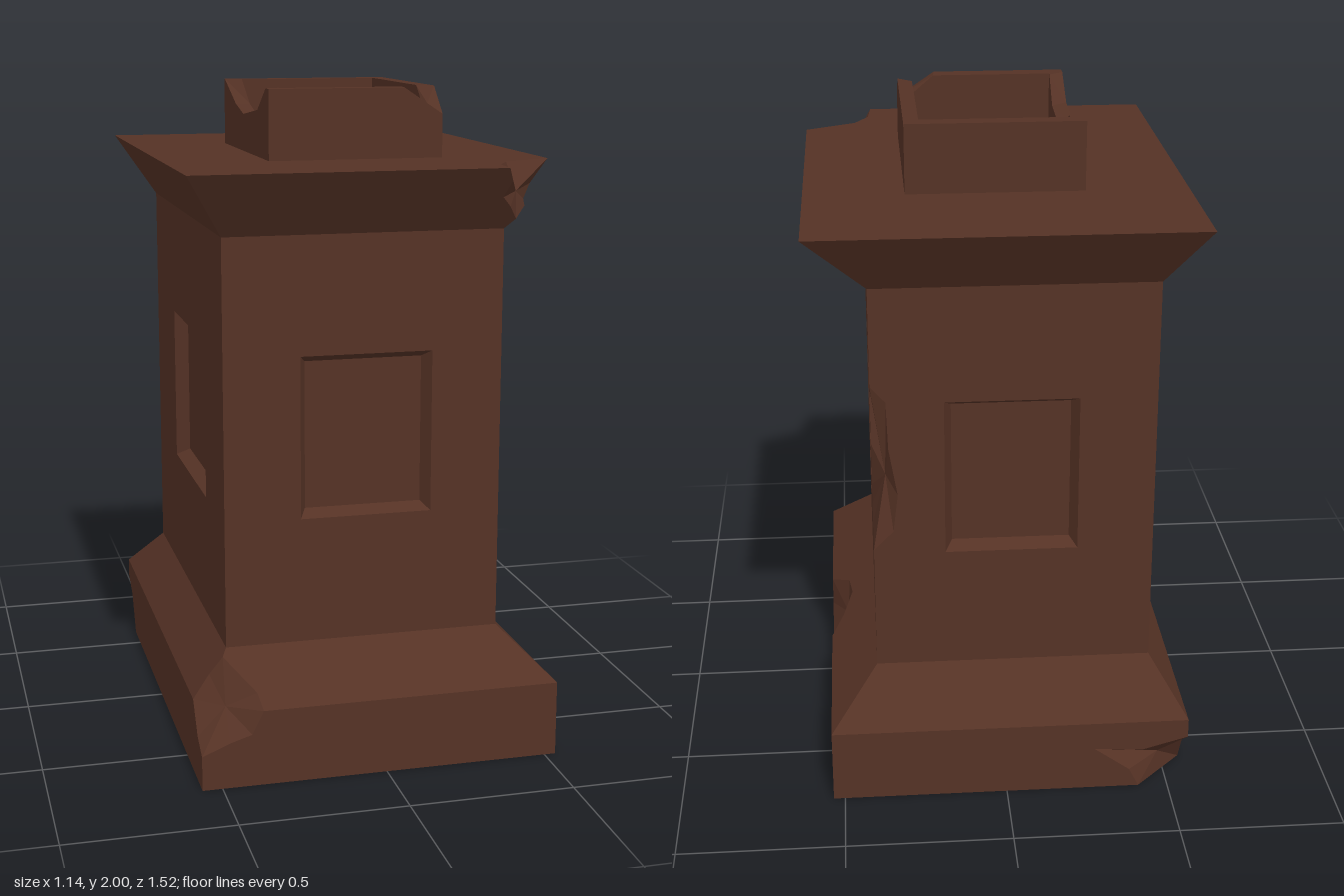
import * as THREE from 'three';

const material = new THREE.MeshStandardMaterial({ color: 0x553225 });
const lerp = THREE.MathUtils.lerp;

// Collects flat faces into one hard-edged mesh. Every face is wound to match an outward hint.
class Part {
  constructor(name) { this.name = name; this.points = []; }

  tri(a, b, c, out) {
    const [A, B, C] = [a, b, c].map(p => new THREE.Vector3(...p));
    const n = B.clone().sub(A).cross(C.clone().sub(A));
    this.points.push(...(n.dot(new THREE.Vector3(...out)) >= 0 ? [A, B, C] : [A, C, B]));
  }

  // Planar polygon, with optional holes, triangulated along the hint's main axis
  face(out, outline, holes = []) {
    const size = out.map(Math.abs);
    const drop = size.indexOf(Math.max(...size));
    const flat = loop => loop.map(p => new THREE.Vector2(...p.filter((_, i) => i !== drop)));
    const all = [outline, ...holes].flat();
    for (const t of THREE.ShapeUtils.triangulateShape(flat(outline), holes.map(flat)))
      this.tri(all[t[0]], all[t[1]], all[t[2]], out);
  }

  // Broken area: a fan from a jagged loop to a sunken centre
  chip(out, loop, centre) {
    const C = new THREE.Vector3(...centre), sum = new THREE.Vector3();
    const v = loop.map(p => new THREE.Vector3(...p));
    const next = i => v[(i + 1) % v.length];
    v.forEach((p, i) => sum.add(p.clone().sub(C).cross(next(i).clone().sub(C))));
    const keep = sum.dot(new THREE.Vector3(...out)) > 0;
    v.forEach((p, i) => this.points.push(...(keep ? [C, p, next(i)] : [C, next(i), p])));
  }

  mesh() {
    const geometry = new THREE.BufferGeometry().setFromPoints(this.points);
    geometry.computeVertexNormals();
    const mesh = new THREE.Mesh(geometry, material);
    mesh.name = this.name;
    return mesh;
  }
}

const FRONT = [0, 0, 1], BACK = [0, 0, -1], LEFT = [1, 0, 0], RIGHT = [-1, 0, 0], UP = [0, 1, 0], DOWN = [0, -1, 0];

// Rectangular cross-sections: x0, x1, z0 (back), z1 (front)
const PLINTH = [-0.56, 0.535, -0.76, 0.76];
const SHAFT = [-0.455, 0.39, -0.595, 0.6];
const CAP = [-0.575, 0.57, -0.735, 0.74];

// Cross-section at height y on a slope between two sections
const slope = (a, b, y0, y1) => y => a.map((v, i) => lerp(v, b[i], (y - y0) / (y1 - y0)));
const plinthAt = slope(PLINTH, SHAFT, 0.23, 0.375);
const capAt = slope(SHAFT, CAP, 1.6, 1.79);

function makeBase() {
  const part = new Part('base');
  const [x0, x1, z0, z1] = PLINTH, [sx0, sx1, sz0, sz1] = SHAFT, E = 0.23, T = 0.375;
  const onFront = (x, y) => [x, y, plinthAt(y)[3]];
  const onX = (side, y, z) => [plinthAt(y)[side], y, z];

  // Broken front corner
  const hip = plinthAt(0.355);
  const cornerTop = [hip[0], 0.355, hip[3]];
  const cornerFront = [[-0.375, E, z1], [-0.41, 0.16, z1], [-0.475, 0.14, z1], [x0, 0.105, z1]];
  const cornerSlope = [onFront(-0.43, 0.315), onFront(-0.385, 0.27)];
  const cornerSide = [[x0, 0.14, 0.69], [x0, E, 0.62]];
  const cornerSideSlope = onX(0, 0.3, 0.61);
  part.chip([-1, 1, 1], [cornerTop, ...cornerSlope, ...cornerFront, ...cornerSide, cornerSideSlope], [-0.475, 0.225, 0.685]);

  // Chip in the middle of one long edge
  const edgeLow = [[0.22, E], [0.18, 0.16], [0.1, 0.12], [0, 0.105], [-0.1, 0.13], [-0.17, E]].map(([z, y]) => [x1, y, z]);
  const edgeHigh = [[-0.1, 0.27], [0, 0.3], [0.1, 0.29]].map(([z, y]) => onX(1, y, z));
  part.chip([1, 1, 0], [...edgeLow, ...edgeHigh], [0.48, 0.21, 0.02]);

  // Broken bottom corner at the back
  const backChip = [[-0.41, 0], [-0.38, 0.06], [-0.27, 0.14], [-0.42, 0.13], [x0, 0.17]].map(([x, y]) => [x, y, z0]);
  const backSide = [[x0, 0.12, -0.68], [x0, 0, -0.61]];
  part.chip([-1, -1, -1], [...backChip, ...backSide], [-0.48, 0.07, -0.68]);

  // Plinth walls and underside
  part.face(FRONT, [[x0, 0, z1], [x1, 0, z1], [x1, E, z1], ...cornerFront]);
  part.face(LEFT, [[x1, 0, z1], [x1, E, z1], ...edgeLow, [x1, E, z0], [x1, 0, z0]]);
  part.face(BACK, [[x1, 0, z0], [x1, E, z0], [x0, E, z0], ...[...backChip].reverse()]);
  part.face(RIGHT, [[x0, 0, z1], cornerFront[3], ...cornerSide, [x0, E, z0], backChip[4], ...backSide]);
  part.face(DOWN, [[x0, 0, z1], [x1, 0, z1], [x1, 0, z0], backChip[0], backSide[1]]);

  // Sloped shoulders
  const top = [[sx0, T, sz1], [sx1, T, sz1], [sx1, T, sz0], [sx0, T, sz0]];
  part.face([0, 0.9, 1], [cornerFront[0], ...[...cornerSlope].reverse(), cornerTop, top[0], top[1], [x1, E, z1]]);
  part.face([1, 0.9, 0], [[x1, E, z1], edgeLow[0], ...[...edgeHigh].reverse(), edgeLow[5], [x1, E, z0], top[2], top[1]]);
  part.face([0, 0.9, -1], [[x1, E, z0], [x0, E, z0], top[3], top[2]]);
  part.face([-1, 0.7, 0], [cornerSide[1], cornerSideSlope, cornerTop, top[0], top[3], [x0, E, z0]]);
  return part.mesh();
}

function makeShaft() {
  const part = new Part('shaft');
  const [x0, x1, z0, z1] = SHAFT, lo = 0.375, hi = 1.6;

  // Chip down one back edge
  const side = [[1.3, z0], [1.27, -0.54], [1.1, -0.55], [0.95, -0.51], [0.87, -0.48], [0.82, -0.51], [0.77, z0]].map(([y, z]) => [x1, y, z]);
  const rear = [[0.83, 0.33], [0.95, 0.315], [1.1, 0.34], [1.25, 0.345]].map(([y, x]) => [x, y, z0]);
  part.chip([1, 0, -1], [...side, ...rear], [0.35, 1.0, -0.55]);

  // Wall with a sunken, bevelled panel; place(u, y, d) maps to the wall at depth d
  const wall = (out, place, u0, u1, outline) => {
    const rect = (m, d) => [[u0 + m, 0.755 + m], [u1 - m, 0.755 + m], [u1 - m, 1.245 - m], [u0 + m, 1.245 - m]].map(([u, y]) => place(u, y, d));
    const rim = rect(0, 0), bed = rect(0.022, 0.042);
    part.face(out, outline, [rim]);
    part.face(out, bed);
    for (let i = 0; i < 4; i++) {
      const j = (i + 1) % 4;
      part.tri(rim[i], rim[j], bed[j], out);
      part.tri(rim[i], bed[j], bed[i], out);
    }
  };
  wall(FRONT, (u, y, d) => [u, y, z1 - d], -0.225, 0.175, [[x0, lo, z1], [x1, lo, z1], [x1, hi, z1], [x0, hi, z1]]);
  wall(BACK, (u, y, d) => [u, y, z0 + d], -0.225, 0.175, [[x0, lo, z0], [x1, lo, z0], side[6], ...rear, side[0], [x1, hi, z0], [x0, hi, z0]]);
  wall(LEFT, (u, y, d) => [x1 - d, y, u], -0.25, 0.3, [[x1, lo, z1], [x1, hi, z1], [x1, hi, z0], ...side, [x1, lo, z0]]);
  wall(RIGHT, (u, y, d) => [x0 + d, y, u], -0.25, 0.3, [[x0, lo, z1], [x0, hi, z1], [x0, hi, z0], [x0, lo, z0]]);
  return part.mesh();
}

function makeCap() {
  const part = new Part('cap');
  const [x0, x1, z0, z1] = CAP, [sx0, sx1, sz0, sz1] = SHAFT, lo = 1.6, hi = 1.79;

  // Broken front corner
  const top = [[0.355, z1], [0.365, 0.63], [0.41, 0.55], [x1, 0.47]].map(([x, z]) => [x, hi, z]);
  const side = [[1.72, 0.5], [1.68, 0.55], [1.665, 0.6]].map(([y, z]) => [capAt(y)[1], y, z]);
  const hip = [capAt(1.63)[1], 1.63, capAt(1.63)[3]];
  const front = [[1.67, 0.39], [1.7, 0.36], [1.75, 0.375]].map(([y, x]) => [x, y, capAt(y)[3]]);
  part.chip([1, 0.3, 1], [...top, ...side, hip, ...front], [0.42, 1.71, 0.61]);

  // Top and flared sides
  part.face(UP, [[x0, hi, z1], ...top, [x1, hi, z0], [x0, hi, z0]]);
  part.face([0, -0.7, 1], [[x0, hi, z1], [sx0, lo, sz1], [sx1, lo, sz1], hip, ...front, top[0]]);
  part.face([1, -0.9, 0], [top[3], ...side, hip, [sx1, lo, sz1], [sx1, lo, sz0], [x1, hi, z0]]);
  part.face([0, -0.7, -1], [[x0, hi, z0], [x1, hi, z0], [sx1, lo, sz0], [sx0, lo, sz0]]);
  part.face([-1, -0.6, 0], [[x0, hi, z0], [x0, hi, z1], [sx0, lo, sz1], [sx0, lo, sz0]]);
  return part.mesh();
}

function makeCrown() {
  const part = new Part('crown');
  const [x0, x1, z0, z1] = [-0.265, 0.27, -0.31, 0.37];
  const [i0, i1, j0, j1] = [-0.22, 0.225, -0.26, 0.315];
  const lo = 1.79, hi = 2;

  // Worn dip across one wall, outer and inner lines
  const outer = [[-0.3, hi], [-0.12, 1.93], [0, 1.905], [0.21, 1.93], [0.33, hi]].map(([z, y]) => [x0, y, z]);
  const inner = [[-0.24, hi], [-0.12, 1.93], [0, 1.9], [0.21, 1.92], [0.3, hi]].map(([z, y]) => [i0, y, z]);
  for (let i = 0; i < 4; i++) {
    part.tri(outer[i], outer[i + 1], inner[i + 1], UP);
    part.tri(outer[i], inner[i + 1], inner[i], UP);
  }

  // Broken front corner
  const a = [0.15, hi, z1], b = [x1, 1.92, z1], c = [x1, hi, 0.28];
  const d = [i1, hi, 0.24], e = [i1, 1.94, j1], f = [0.155, hi, j1];
  part.chip([1, 1, 1], [a, b, c, d, e, f], [0.235, 1.95, 0.325]);

  // Rim, in two pieces between the breaks
  part.face(UP, [outer[0], [x0, hi, z0], [x1, hi, z0], c, d, [i1, hi, j0], [i0, hi, j0], inner[0]]);
  part.face(UP, [outer[4], [x0, hi, z1], a, f, [i0, hi, j1], inner[4]]);

  // Outer walls
  part.face(FRONT, [[x0, lo, z1], [x1, lo, z1], b, a, [x0, hi, z1]]);
  part.face(LEFT, [[x1, lo, z1], b, c, [x1, hi, z0], [x1, lo, z0]]);
  part.face(BACK, [[x0, lo, z0], [x1, lo, z0], [x1, hi, z0], [x0, hi, z0]]);
  part.face(RIGHT, [[x0, lo, z0], [x0, hi, z0], ...outer, [x0, hi, z1], [x0, lo, z1]]);

  // Inner walls
  part.face(BACK, [[i0, lo, j1], [i1, lo, j1], e, f, [i0, hi, j1]]);
  part.face(RIGHT, [[i1, lo, j1], e, d, [i1, hi, j0], [i1, lo, j0]]);
  part.face(FRONT, [[i0, lo, j0], [i1, lo, j0], [i1, hi, j0], [i0, hi, j0]]);
  part.face(LEFT, [[i0, lo, j0], [i0, hi, j0], ...inner, [i0, hi, j1], [i0, lo, j1]]);
  return part.mesh();
}

export function createModel() {
  const group = new THREE.Group();
  group.name = 'pedestal';
  group.add(makeBase(), makeShaft(), makeCap(), makeCrown());
  return group;
}
